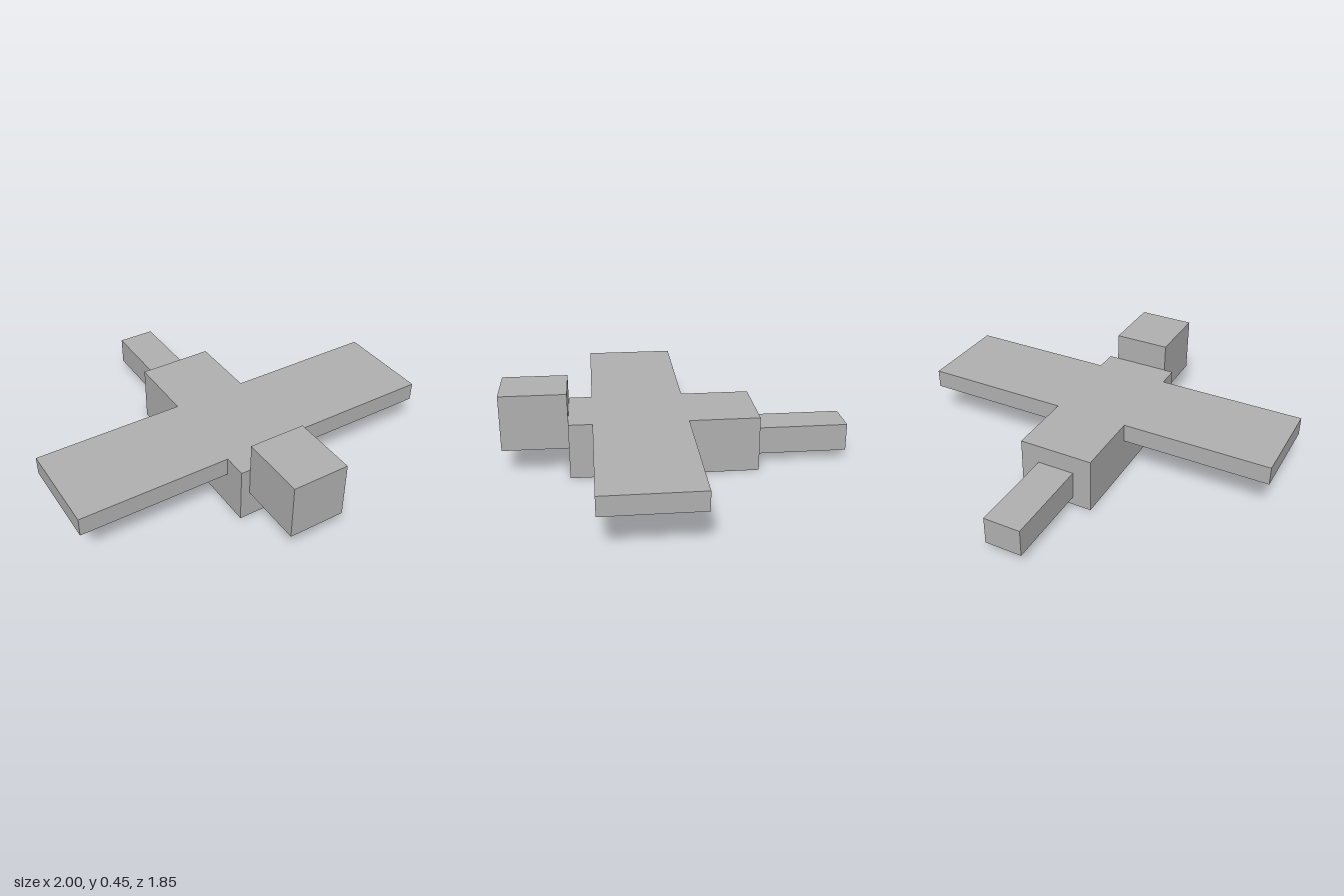
import * as THREE from 'three';

export function createModel() {
  const model = new THREE.Group();
  model.name = 'bird';
  const grey = new THREE.MeshStandardMaterial({ color: 0xb0b0b0 });
  grey.name = 'grey';

  // Adds a box of size [w, h, d] centred at [x, y, z]
  const addBox = (name, size, position) => {
    const mesh = new THREE.Mesh(new THREE.BoxGeometry(...size), grey);
    mesh.name = name;
    mesh.position.set(...position);
    model.add(mesh);
  };

  addBox('body', [0.4, 0.3, 1], [0, 0.15, 0.075]);
  addBox('head', [0.3, 0.3, 0.35], [0, 0.3, 0.75]);
  addBox('tail', [0.2, 0.15, 0.5], [0, 0.125, -0.675]);

  // Mirrored wings, flush with the top of the body
  for (const [name, side] of [['leftWing', 1], ['rightWing', -1]]) {
    addBox(name, [0.8, 0.1, 0.5], [side * 0.6, 0.25, 0.2]);
  }

  return model;
}
